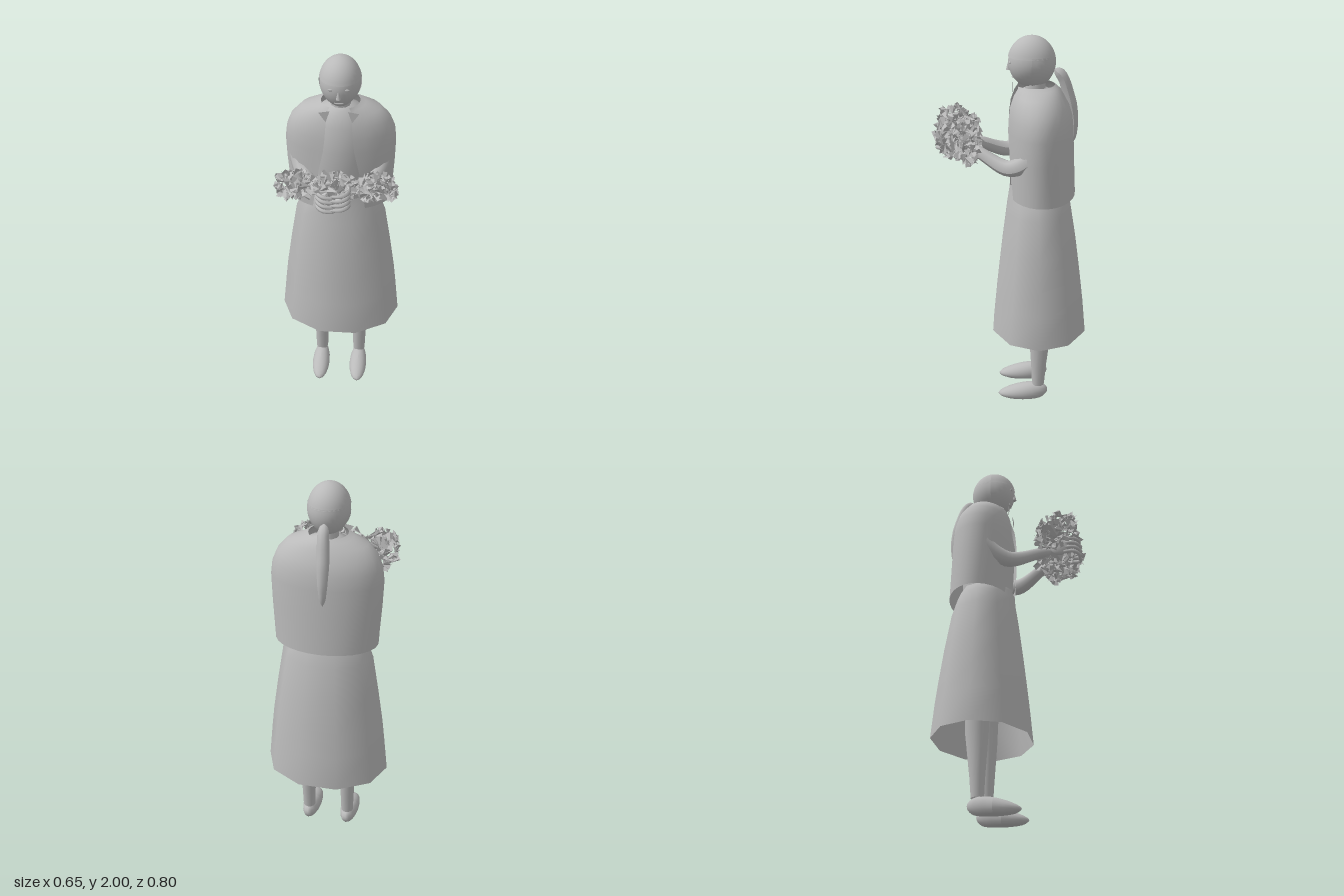
import * as THREE from 'three';
import { mergeGeometries } from 'three/addons/utils/BufferGeometryUtils.js';

const clay = new THREE.MeshStandardMaterial({ color: 0xbababa, side: THREE.DoubleSide });
clay.name = 'clay grey';

function add(parent, geometry, name) {
  const mesh = new THREE.Mesh(geometry, clay);
  mesh.name = name;
  parent.add(mesh);
  return mesh;
}

// Elliptical rings [y, rx, rz, cz, frontGap] joined into a skin; a gap leaves the front open
function loft(rings, n, offset = 0) {
  const open = rings[0].length > 4;
  const cols = open ? n + 1 : n;
  const pos = [], index = [];
  rings.forEach(([y, rx, rz, cz, gap = 0], i) => {
    const a0 = open ? Math.asin(gap / rx) : offset;
    const sweep = open ? Math.PI * 2 - 2 * a0 : Math.PI * 2;
    for (let j = 0; j < cols; j++) {
      const a = a0 + sweep * j / n;
      pos.push(rx * Math.sin(a), y, cz + rz * Math.cos(a));
      if (i === rings.length - 1 || j === n) continue;
      const k = (j + 1) % cols, lo = i * cols, hi = lo + cols;
      index.push(lo + j, lo + k, hi + k, lo + j, hi + k, hi + j);
    }
  });
  const g = new THREE.BufferGeometry();
  g.setAttribute('position', new THREE.Float32BufferAttribute(pos, 3));
  g.setIndex(index);
  g.computeVertexNormals();
  return g;
}

// Rounded tube through points, its radius following a list of values
function taperTube(points, radii, segments = 20, sides = 10) {
  const curve = new THREE.CatmullRomCurve3(points.map(p => new THREE.Vector3(...p)));
  const g = new THREE.TubeGeometry(curve, segments, 1, sides);
  const p = g.attributes.position, v = new THREE.Vector3();
  for (let i = 0; i <= segments; i++) {
    const t = i / segments, c = curve.getPointAt(t);
    const f = t * (radii.length - 1), k = Math.min(Math.floor(f), radii.length - 2);
    const end = Math.sqrt(Math.min(1, Math.min(t, 1 - t) * 12));
    const r = THREE.MathUtils.lerp(radii[k], radii[k + 1], f - k) * end;
    for (let j = 0; j <= sides; j++) {
      const q = i * (sides + 1) + j;
      v.fromBufferAttribute(p, q).sub(c).multiplyScalar(r).add(c);
      p.setXYZ(q, v.x, v.y, v.z);
    }
  }
  g.computeVertexNormals();
  return g;
}

// Moves every vertex of a geometry by a rule
function reshape(g, rule) {
  const p = g.attributes.position, v = new THREE.Vector3();
  for (let i = 0; i < p.count; i++) {
    rule(v.fromBufferAttribute(p, i));
    p.setXYZ(i, v.x, v.y, v.z);
  }
  g.computeVertexNormals();
  return g;
}

const headShape = grow => v => {
  const taper = v.y < 0 ? 1 - 0.2 * v.y * v.y : 1;
  v.set(v.x * 0.103 * taper * grow, 1.87 + v.y * 0.127 * grow, -0.105 + v.z * 0.117 * grow);
};

function buildHead() {
  const head = new THREE.Group();
  head.name = 'head';
  add(head, reshape(new THREE.SphereGeometry(1, 28, 20), headShape(1)), 'face');
  add(head, reshape(new THREE.SphereGeometry(1, 28, 10, 0, Math.PI * 2, 0, 1.36), headShape(1.03)), 'hairCrown');
  add(head, reshape(new THREE.SphereGeometry(1, 16, 12, Math.PI, Math.PI, 1.3, 1.6), headShape(1.03)), 'hairBack');
  add(head, new THREE.CylinderGeometry(0.048, 0.055, 0.16, 12).translate(0, 1.73, -0.125), 'neck');
  const nose = add(head, new THREE.ConeGeometry(0.013, 0.05, 8), 'nose');
  nose.position.set(0, 1.853, 0.01);
  const mouth = add(head, new THREE.SphereGeometry(1, 12, 6), 'mouth');
  mouth.scale.set(0.024, 0.006, 0.006);
  mouth.position.set(0, 1.795, -0.012);
  for (const s of [-1, 1]) {
    const eye = add(head, new THREE.SphereGeometry(1, 10, 6), 'eye');
    eye.scale.set(0.015, 0.007, 0.005);
    eye.position.set(s * 0.038, 1.873, 0.002);
  }
  add(head, taperTube([[0, 1.835, -0.215], [-0.005, 1.8, -0.255], [-0.012, 1.7, -0.292],
    [-0.014, 1.58, -0.318], [-0.014, 1.45, -0.322]], [0.026, 0.03, 0.031, 0.024, 0.012]), 'ponytail');
  return head;
}

function buildSide(s) {
  const side = new THREE.Group();
  side.name = s > 0 ? 'leftLimbs' : 'rightLimbs';
  // Leg and shoe
  add(side, loft([[0.09, 0.033, 0.033, -0.153], [0.2, 0.037, 0.04, -0.155], [0.42, 0.049, 0.06, -0.16],
    [0.6, 0.056, 0.065, -0.158], [1.0, 0.075, 0.08, -0.15]], 12).translate(s * 0.108, 0, 0), 'leg');
  add(side, reshape(new THREE.SphereGeometry(1, 16, 14), v => {
    const height = 0.085 - v.z * 0.03;
    v.set(s * 0.108 + v.x * 0.049, 0.005 + (Math.max(v.y, -0.7) + 0.7) / 1.7 * height, -0.07 + v.z * 0.135);
  }), 'shoe');
  // Arm reaching forward, with fingers wrapped round the bouquet
  add(side, taperTube([[s * 0.2, 1.65, -0.15], [s * 0.215, 1.45, -0.12], [s * 0.165, 1.365, 0],
    [s * 0.085, 1.425, 0.16], [s * 0.06, 1.45, 0.23]], [0.055, 0.052, 0.046, 0.034, 0.026], 28), 'arm');
  const palm = add(side, new THREE.SphereGeometry(1, 12, 10), 'palm');
  palm.scale.set(0.02, 0.05, 0.05);
  palm.position.set(s * 0.068, 1.465, 0.27);
  for (let i = 0; i < 4; i++) {
    const y = 1.43 + i * 0.026 + (s > 0 ? 0.01 : 0);
    add(side, taperTube([[s * 0.07, y, 0.28], [s * 0.072, y, 0.345], [s * 0.045, y - 0.005, 0.37],
      [-s * 0.012, y - 0.014, 0.365]], [0.011, 0.011, 0.01, 0.008], 12, 6), 'finger');
  }
  add(side, taperTube([[s * 0.065, 1.48, 0.24], [s * 0.04, 1.51, 0.265], [s * 0.01, 1.525, 0.275]],
    [0.012, 0.012, 0.009], 8, 6), 'thumb');
  // Collar point
  const flap = new THREE.Shape([[0.045, 1.752], [0.065, 1.69], [0.1, 1.742]].map(p => new THREE.Vector2(s * p[0], p[1])));
  add(side, new THREE.ShapeGeometry(flap).translate(0, 0, -0.008), 'collarPoint');
  return side;
}

function buildBouquet() {
  const bouquet = new THREE.Group();
  bouquet.name = 'bouquet';
  let seed = 7;
  const rnd = () => (seed = (seed * 16807) % 2147483647) / 2147483647;
  const lobes = [[-0.195, 1.5, 0.27, 0.09], [0, 1.475, 0.255, 0.105], [0.205, 1.5, 0.26, 0.09]];
  const leaves = [];
  for (const [cx, cy, cz, r] of lobes) {
    for (let i = 0; i < 120; i++) {
      // Small folded leaf scattered on a tilted shell
      const size = 0.013 + rnd() * 0.011;
      const leaf = new THREE.ConeGeometry(size, size * 2.2, 3, 1, true, 0, Math.PI * 1.3).toNonIndexed();
      leaf.rotateX(rnd() * 6.28).rotateY(rnd() * 6.28).rotateZ(rnd() * 6.28);
      const a = rnd() * Math.PI * 2, h = rnd() * 2 - 1, w = Math.sqrt(1 - h * h);
      const d = r * (0.85 + rnd() * 0.2);
      const z = w * Math.sin(a) * d * 1.15;
      leaf.translate(cx + w * Math.cos(a) * d, cy + h * d * 0.72 + z * 0.42, cz + z);
      leaf.computeVertexNormals();
      leaves.push(leaf);
    }
    const bloom = new THREE.ConeGeometry(0.065, 0.09, 5, 1, true).toNonIndexed();
    bloom.rotateX(Math.PI - 0.35).translate(cx, cy - 0.02, cz);
    bloom.computeVertexNormals();
    add(bouquet, bloom, 'bloom');
  }
  add(bouquet, mergeGeometries(leaves), 'leaves');
  return bouquet;
}

export function createModel() {
  const model = new THREE.Group();
  model.name = 'woman with bouquet';
  // Ten-sided flared skirt
  add(model, loft([[0.415, 0.325, 0.26, -0.155], [0.6, 0.307, 0.242, -0.155], [0.72, 0.294, 0.228, -0.154],
    [0.9, 0.268, 0.205, -0.152], [1.1, 0.236, 0.175, -0.148], [1.19, 0.203, 0.155, -0.142],
    [1.24, 0.17, 0.145, -0.135]], 10, Math.PI / 10), 'skirt');
  add(model, loft([[1.2, 0.16, 0.13, -0.135], [1.4, 0.165, 0.14, -0.135], [1.52, 0.175, 0.148, -0.135],
    [1.65, 0.16, 0.125, -0.135], [1.72, 0.1, 0.085, -0.13], [1.74, 0.04, 0.04, -0.125]], 20), 'torso');
  // Short cape, open down the front
  add(model, loft([[1.185, 0.264, 0.172, -0.163, 0.135], [1.4, 0.277, 0.17, -0.155, 0.105],
    [1.53, 0.282, 0.168, -0.152, 0.078], [1.6, 0.274, 0.163, -0.15, 0.07], [1.66, 0.25, 0.15, -0.145, 0.066],
    [1.715, 0.2, 0.125, -0.138, 0.062], [1.742, 0.125, 0.107, -0.132, 0.056],
    [1.755, 0.098, 0.098, -0.125, 0.048]], 24), 'cape');
  model.add(buildHead(), buildSide(1), buildSide(-1), buildBouquet());
  return model;
}
